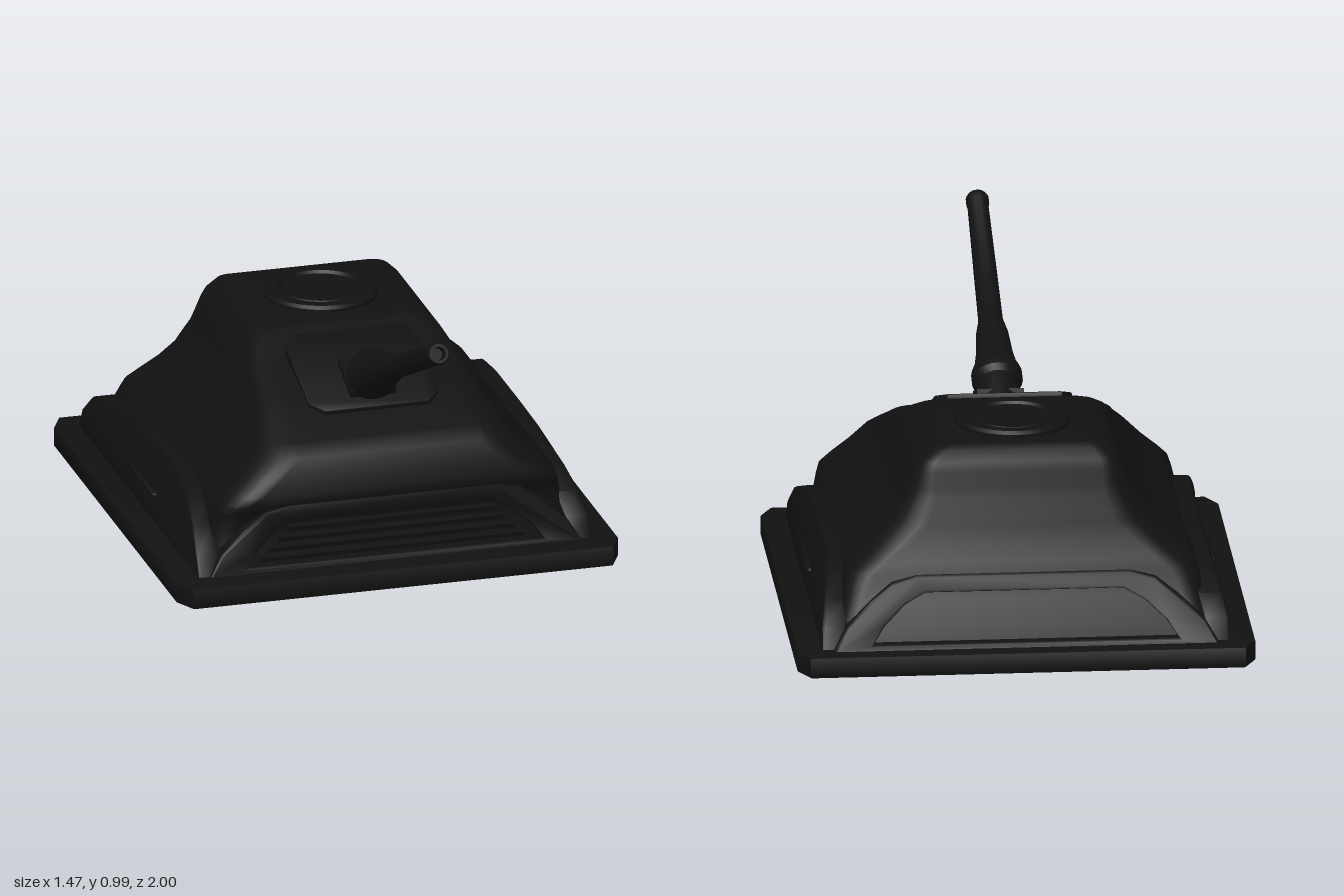
import * as THREE from 'three';
import { toCreasedNormals } from 'three/addons/utils/BufferGeometryUtils.js';

const material = new THREE.MeshStandardMaterial({ color: 0x111111 });

function add(parent, name, geometry, crease = 0.6) {
  const mesh = new THREE.Mesh(toCreasedNormals(geometry, crease), material);
  mesh.name = name;
  parent.add(mesh);
  return mesh;
}

// Outline of a rounded rectangle, as [x, z] pairs
function ring(hw, front, back, r) {
  const pts = [];
  const corners = [[hw - r, front - r], [-hw + r, front - r], [-hw + r, back + r], [hw - r, back + r]];
  corners.forEach(([cx, cz], q) => {
    for (let i = 0; i <= 6; i++) {
      const a = (q + i / 6) * Math.PI / 2;
      pts.push([cx + r * Math.cos(a), cz + r * Math.sin(a)]);
    }
  });
  return pts;
}

// Stack rounded rectangles [y, halfWidth, front, back, radius] into a closed solid
function loft(levels) {
  const pos = [], idx = [];
  const n = 28;
  for (const [y, hw, f, b, r] of levels) for (const [x, z] of ring(hw, f, b, r)) pos.push(x, y, z);
  for (let k = 0; k < levels.length - 1; k++) {
    for (let i = 0; i < n; i++) {
      const a = k * n + i, b = k * n + (i + 1) % n;
      idx.push(a, a + n, b, b, a + n, b + n);
    }
  }
  const top = (levels.length - 1) * n;
  for (let i = 1; i < n - 1; i++) idx.push(0, i, i + 1, top, top + i + 1, top + i);
  const g = new THREE.BufferGeometry();
  g.setAttribute('position', new THREE.Float32BufferAttribute(pos, 3));
  g.setIndex(idx);
  return g;
}

function extrude(points, depth, bevel, holePoints) {
  const toVec = (p) => p.map(([x, y]) => new THREE.Vector2(x, y));
  const shape = new THREE.Shape(toVec(points));
  if (holePoints) shape.holes.push(new THREE.Path(toVec(holePoints)));
  return new THREE.ExtrudeGeometry(shape, {
    depth, bevelEnabled: bevel > 0, bevelSize: bevel, bevelThickness: bevel, bevelSegments: 2,
  });
}

// Slide every vertex along one axis by a rule of its height
function shear(g, axis, rule) {
  const p = g.attributes.position;
  for (let i = 0; i < p.count; i++) p.setComponent(i, axis, p.getComponent(i, axis) + rule(p.getY(i)));
  return g;
}

const mirrorX = (half) => [...half, ...half.slice().reverse().map(([x, y]) => [-x, y])];

export function createModel() {
  const model = new THREE.Group();

  // Ground plate with clipped corners
  const plate = mirrorX([[0.70, -0.57], [0.735, -0.50], [0.735, 0.93], [0.70, 1.0]]);
  const plateGeo = extrude(plate, 0.054, 0.008);
  plateGeo.rotateX(-Math.PI / 2).translate(0, 0.008, 0).scale(0.99, 1, 0.992);
  add(model, 'basePlate', plateGeo);

  // Sloping armoured hull and turret
  add(model, 'hull', loft([
    [0.06, 0.61, 0.44, -0.91, 0.06],
    [0.13, 0.60, 0.43, -0.88, 0.06],
    [0.20, 0.58, 0.42, -0.84, 0.07],
    [0.25, 0.57, 0.435, -0.81, 0.08],
    [0.28, 0.56, 0.455, -0.80, 0.09],
    [0.31, 0.53, 0.453, -0.785, 0.10],
    [0.36, 0.475, 0.44, -0.76, 0.11],
    [0.42, 0.42, 0.42, -0.74, 0.12],
    [0.45, 0.40, 0.36, -0.73, 0.11],
    [0.50, 0.37, 0.25, -0.71, 0.10],
    [0.53, 0.357, 0.18, -0.70, 0.09],
    [0.58, 0.335, 0.02, -0.685, 0.07],
    [0.61, 0.318, -0.05, -0.675, 0.06],
    [0.642, 0.285, -0.12, -0.655, 0.05],
    [0.655, 0.25, -0.15, -0.62, 0.04],
  ]), 0.9);

  // Arched skirts along both sides
  const sideArch = [[-0.47, 0.07], [-0.44, 0.13], [-0.38, 0.19], [-0.25, 0.235], [0, 0.275], [0.2, 0.282],
    [0.48, 0.28], [0.65, 0.25], [0.78, 0.19], [0.87, 0.13], [0.91, 0.07]];
  for (const side of [1, -1]) {
    const skirt = extrude(sideArch, 0.06, 0.01);
    skirt.rotateY(Math.PI / 2).translate(0.585, 0, 0);
    shear(skirt, 0, (y) => -0.047 * Math.max(0, (y - 0.12) / 0.17) ** 1.3);
    if (side < 0) skirt.rotateY(Math.PI).translate(0, 0, -0.44);
    add(model, side > 0 ? 'leftSkirt' : 'rightSkirt', skirt);

    // Shallow raised strip on the skirt
    const strip = new THREE.CapsuleGeometry(0.012, 0.28, 4, 10);
    const mesh = add(model, 'skirtStrip', strip);
    mesh.rotation.x = Math.PI / 2;
    mesh.position.set(side * 0.646, 0.15, -0.2);
  }

  // Flared arches across the front and back
  const outer = mirrorX([[0.61, 0.07], [0.57, 0.13], [0.49, 0.20], [0.42, 0.25], [0.34, 0.27]]);
  const inner = mirrorX([[0.50, 0.08], [0.46, 0.14], [0.39, 0.20], [0.32, 0.235]]);
  const frontArch = extrude(outer, 0.06, 0.008, inner).translate(0, 0, 0.42);
  shear(frontArch, 2, (y) => -0.035 * Math.min(1, Math.max(0, (y - 0.07) / 0.12)));
  add(model, 'frontArch', frontArch);

  const backArch = extrude(outer, 0.06, 0.008, inner).translate(0, 0, -0.935);
  shear(backArch, 2, (y) => 0.66 * Math.max(0, y - 0.07));
  add(model, 'backArch', backArch);

  // Horizontal slats in the front recess
  for (let i = 0; i < 5; i++) {
    const slat = add(model, 'frontSlat', new THREE.BoxGeometry(0.88 - i * 0.065, 0.018, 0.03));
    slat.position.set(0, 0.095 + i * 0.032, 0.427 - i * 0.002);
    slat.rotation.x = 0.3;
  }

  // Raised panel on the sloping turret face
  const panelShape = mirrorX([[0.17, 0], [0.21, 0.04], [0.215, 0.30], [0.18, 0.36]]);
  const panel = add(model, 'gunPanel', extrude(panelShape, 0.02, 0.006));
  panel.position.set(0, 0.488, 0.25);
  panel.rotation.x = -Math.PI / 2 + 0.38;

  // Round roof hatch with a rim
  const hatchProfile = [[0, 0.645], [0.185, 0.645], [0.185, 0.665], [0.175, 0.675], [0.14, 0.675],
    [0.13, 0.662], [0.12, 0.671], [0, 0.671]].map(([r, y]) => new THREE.Vector2(r, y));
  add(model, 'roofHatch', new THREE.LatheGeometry(hatchProfile, 40)).position.z = -0.39;

  // Raised gun with collar, sleeve and tapering barrel
  const gunProfile = [[0, 0], [0.06, 0.01], [0.068, 0.10], [0.068, 0.20], [0.082, 0.22], [0.082, 0.25],
    [0.068, 0.29], [0.06, 0.34], [0.052, 0.44], [0.040, 0.50], [0.038, 0.70], [0.034, 1.04],
    [0.037, 1.05], [0.037, 1.075], [0.032, 1.085], [0.022, 1.085], [0.020, 1.05], [0, 1.05]]
    .map(([r, y]) => new THREE.Vector2(r, y));
  const gun = add(model, 'gunBarrel', new THREE.LatheGeometry(gunProfile, 24));
  gun.position.set(0, 0.503, 0);
  gun.rotation.x = THREE.MathUtils.degToRad(65);

  // Block beneath the gun collar
  const mount = add(model, 'gunMount', new THREE.BoxGeometry(0.15, 0.08, 0.16));
  mount.position.set(0, 0.545, 0.14);
  mount.rotation.x = 0.35;

  return model;
}
